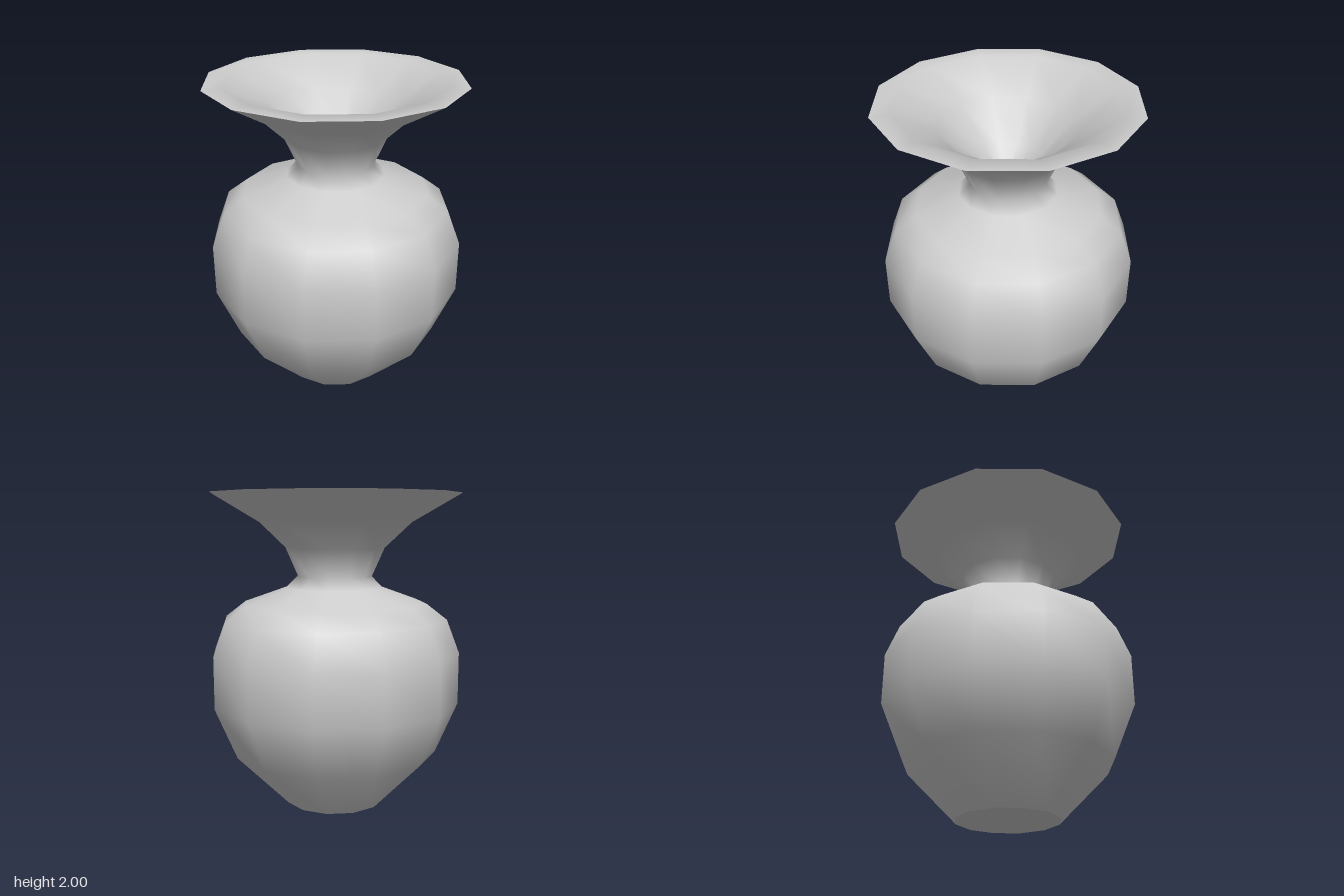
import * as THREE from 'three';

const SIDES = 12;

export function createModel() {
  const group = new THREE.Group();
  group.name = 'vase';
  const material = new THREE.MeshStandardMaterial({ color: 0xcccccc });

  // Turns a [radius, height] profile about the vertical axis
  const turn = (name, profile) => {
    const points = profile.map(([r, y]) => new THREE.Vector2(r, y));
    const mesh = new THREE.Mesh(new THREE.LatheGeometry(points, SIDES), material);
    mesh.name = name;
    group.add(mesh);
  };

  // Flat underside
  turn('base', [[0, 0], [0.325, 0]]);

  // Outer wall: belly, shoulder, narrow neck and flared rim
  turn('outerWall', [
    [0.325, 0], [0.66, 0.34], [0.8, 0.67], [0.8, 1], [0.72, 1.21], [0.59, 1.31],
    [0.31, 1.41], [0.24, 1.48], [0.32, 1.66], [0.49, 1.82], [0.8, 2],
  ]);

  // Flat lip and the funnel inside the mouth
  turn('mouth', [[0.8, 2], [0.68, 2], [0.42, 1.84], [0.2, 1.62], [0, 1.46]]);

  return group;
}
